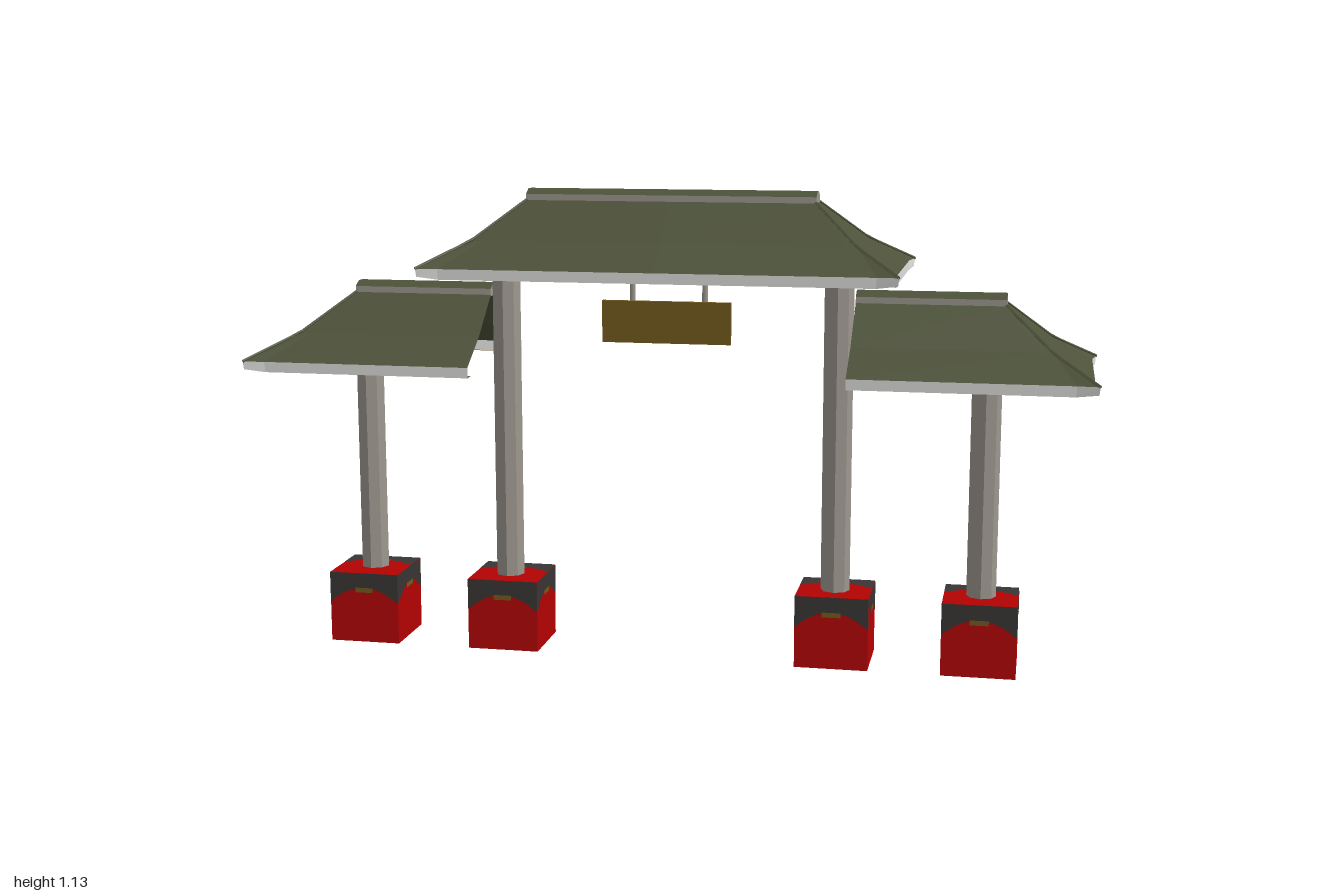
import * as THREE from 'three';

const mat = (name, color, side = THREE.FrontSide) => {
  const m = new THREE.MeshStandardMaterial({ color, side });
  m.name = name;
  return m;
};

export function createModel() {
  const green = mat('roofTileGreen', 0x4d523a, THREE.DoubleSide);
  const white = mat('fasciaWhite', 0xeeeeec, THREE.DoubleSide);
  const brown = mat('soffitBrown', 0x7a5636, THREE.DoubleSide);
  const stone = mat('stoneGrey', 0x9c978e);
  const red = mat('baseRed', 0xb40303);
  const dark = mat('baseDark', 0x3a3535);
  const gold = mat('signOchre', 0x735a1e);

  const gate = new THREE.Group();
  gate.name = 'gate';
  const add = (parent, name, geo, material, x = 0, y = 0, z = 0) => {
    const m = new THREE.Mesh(geo, material);
    m.name = name;
    m.position.set(x, y, z);
    parent.add(m);
    return m;
  };

  // Half outline of a hipped roof, running front, end, back; corners flare out and may lift
  const outline = ({ x0, hx, hz, y, k, flare = 0, lift = 0 }) => [
    [x0, y, hz], [hx - k, y, hz], [hx + flare, y + lift, hz + flare], [hx, y, hz - k],
    [hx, y, k - hz], [hx + flare, y + lift, -hz - flare], [hx - k, y, -hz], [x0, y, -hz],
  ];

  // Flat-shaded faces between successive outlines
  const loft = (rings) => {
    const pos = [];
    for (let r = 0; r + 1 < rings.length; r++) {
      const lo = outline(rings[r]), hi = outline(rings[r + 1]);
      for (let i = 0; i + 1 < lo.length; i++) {
        const a = lo[i], b = lo[i + 1], c = hi[i + 1], d = hi[i];
        pos.push(...a, ...b, ...c, ...a, ...c, ...d);
      }
    }
    const g = new THREE.BufferGeometry();
    g.setAttribute('position', new THREE.Float32BufferAttribute(pos, 3));
    g.computeVertexNormals();
    return g;
  };

  // Bar along x with a section given as [z, y] points
  const bar = (pts, x0, x1) => {
    const s = new THREE.Shape(pts.map(([z, y]) => new THREE.Vector2(-z, y)));
    const g = new THREE.ExtrudeGeometry(s, { depth: x1 - x0, bevelEnabled: false });
    return g.rotateY(Math.PI / 2).translate(x0, 0, 0);
  };

  // Half roof from x0 to its hipped end; y0 is the underside of the eave
  const halfRoof = (name, x0, end, y0) => {
    const g = new THREE.Group();
    g.name = name;
    const eaveLow = { x0, hx: end - 0.012, hz: 0.233, y: y0 - 0.001, k: 0.04, flare: 0.01, lift: 0.007 };
    const eave = { x0, hx: end - 0.01, hz: 0.235, y: y0 + 0.024, k: 0.04, flare: 0.01, lift: 0.001 };
    const mid = { x0, hx: end - 0.105, hz: 0.14, y: y0 + 0.083, k: 0.025 };
    const top = { x0, hx: end - 0.213, hz: 0.032, y: y0 + 0.175, k: 0.008 };
    const soffit = { ...eaveLow, hx: end - 0.034, hz: 0.211, y: y0 + 0.001 };
    add(g, 'roofTiles', loft([eave, mid, top]), green);
    add(g, 'fascia', loft([eaveLow, eave]), white);
    add(g, 'soffit', loft([soffit, eaveLow]), brown);

    // Ridge cap
    const xr = end - 0.211, t = y0 + 0.17;
    add(g, 'ridgeBase', bar([[0.034, t], [-0.034, t], [-0.034, t + 0.018], [0.034, t + 0.018]], x0, xr), stone);
    add(g, 'ridgeCap', bar([[0.034, t + 0.018], [-0.034, t + 0.018], [-0.012, t + 0.03], [0.012, t + 0.03]], x0, xr),
      [stone, green]);

    // Hip ridges
    for (const i of [2, 5]) {
      const path = new THREE.CurvePath();
      const p = [eave, mid, top].map((r) => new THREE.Vector3(...outline(r)[i]));
      path.add(new THREE.LineCurve3(p[0], p[1]));
      path.add(new THREE.LineCurve3(p[1], p[2]));
      add(g, 'hipRidge', new THREE.TubeGeometry(path, 8, 0.004, 4).toNonIndexed(), green)
        .geometry.computeVertexNormals();
    }
    gate.add(g);
    return g;
  };

  // Main roof from two halves, and a lower roof on each side
  const spin = (g, x) => { g.rotation.y = Math.PI; g.position.x = x; };
  halfRoof('mainRoofLeft', 0, 0.56, 0.93).position.x = -0.004;
  spin(halfRoof('mainRoofRight', 0, 0.56, 0.93), -0.004);
  halfRoof('sideRoofLeft', 0.44, 1, 0.7);
  spin(halfRoof('sideRoofRight', 0.445, 1, 0.7), 0);

  // Painted band with an arched lower edge, for one face of a base
  const arch = new THREE.Shape();
  arch.moveTo(-0.088, 0.088);
  arch.lineTo(-0.088, 0.012);
  arch.quadraticCurveTo(0, 0.09, 0.088, 0.012);
  arch.lineTo(0.088, 0.088);
  const archGeo = new THREE.ShapeGeometry(arch, 10);
  const markGeo = new THREE.PlaneGeometry(0.045, 0.012);

  // The paint runs round the block: front, top, back, underside, then the two ends
  const turns = [
    ...[0, 1, 2, 3].map((i) => [-i * Math.PI / 2, 0]),
    [0, Math.PI / 2], [0, -Math.PI / 2],
  ];

  // Eight-sided columns on square bases
  const column = (name, x, z, top) => {
    const g = new THREE.Group();
    g.name = name;
    const h = top - 0.17;
    const shaft = new THREE.CylinderGeometry(0.035, 0.035, h, 8).toNonIndexed();
    shaft.computeVertexNormals();
    add(g, 'shaft', shaft, stone, x, 0.17 + h / 2, z);
    add(g, 'baseBlock', new THREE.BoxGeometry(0.176, 0.176, 0.176), red, x, 0.088, 0.005);
    for (const [rx, ry] of turns) {
      const face = new THREE.Group();
      face.name = 'basePaint';
      face.position.set(x, 0.088, 0.005);
      face.rotation.set(rx, ry, 0);
      add(face, 'baseBand', archGeo, dark, 0, 0, 0.0888);
      add(face, 'baseMark', markGeo, gold, 0, 0.045, 0.0896);
      g.add(face);
    }
    gate.add(g);
  };
  column('outerColumnLeft', 0.748, 0.003, 0.84);
  column('outerColumnRight', -0.769, 0.003, 0.83);
  column('mainColumnLeft', 0.4, 0.014, 0.965);
  column('mainColumnRight', -0.411, 0.014, 0.965);

  // Hanging sign board on two rods
  add(gate, 'signBoard', new THREE.BoxGeometry(0.31, 0.1, 0.012), gold, -0.006, 0.82, 0.058);
  for (const x of [-0.09, 0.085]) {
    add(gate, 'signRod', new THREE.CylinderGeometry(0.007, 0.007, 0.2, 8), stone, x, 0.87, 0.046);
  }
  return gate;
}
